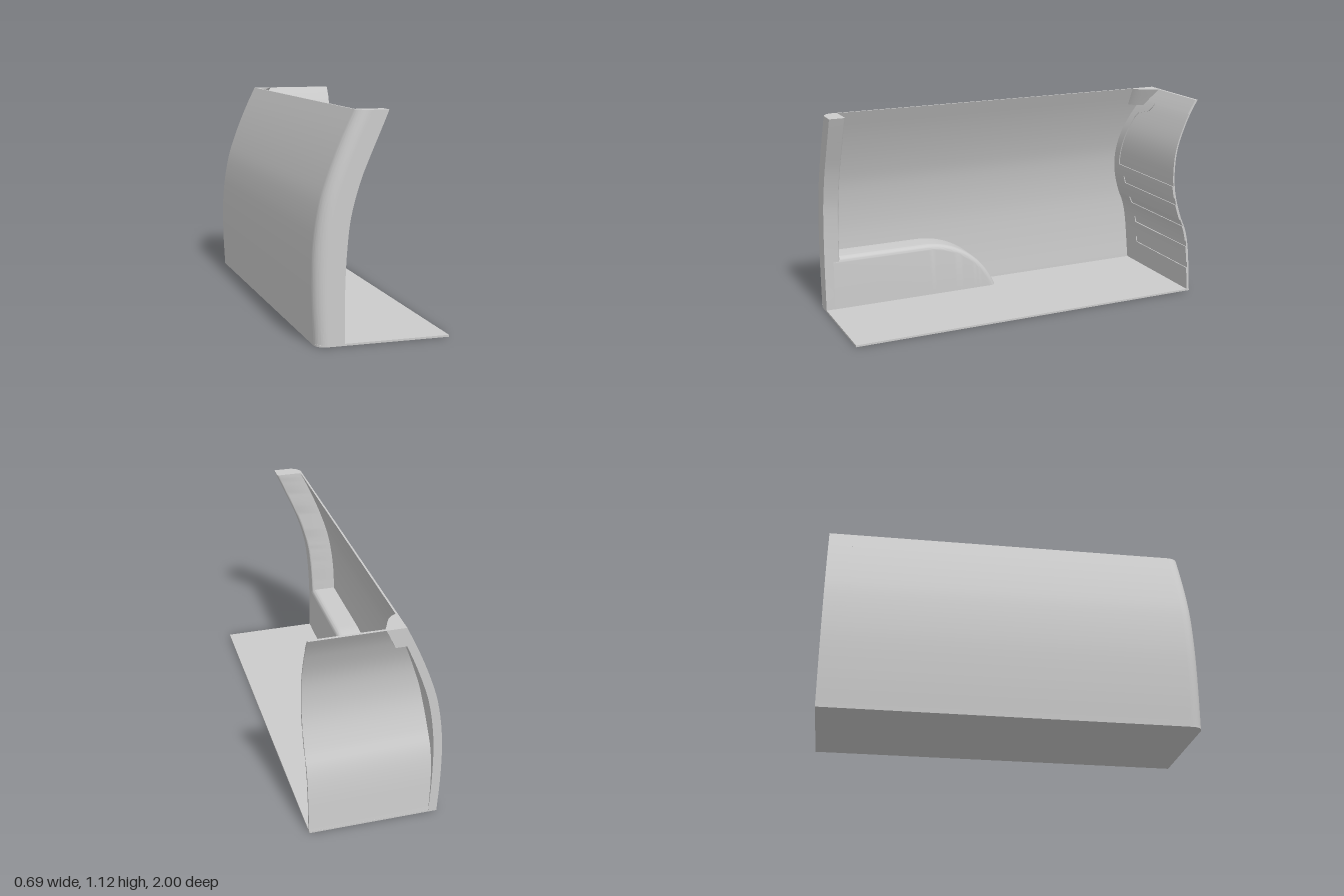
import * as THREE from 'three';
import { toCreasedNormals } from 'three/addons/utils/BufferGeometryUtils.js';

const H = 1.115, RIGHT = 0.34, SKIN = 0.01;
const lerp = THREE.MathUtils.lerp;

// Smooth height -> value function through a few points
function curve(ys, values) {
  const spline = new THREE.CubicInterpolant(ys, values, 1);
  return y => spline.evaluate(THREE.MathUtils.clamp(y, 0, H))[0];
}
const outer = curve( // outside of the side wall, x by height
  [0, 0.2, 0.4, 0.5, 0.6, 0.7, 0.8, 0.9, 1, H],
  [-0.335, -0.344, -0.343, -0.335, -0.321, -0.3, -0.268, -0.23, -0.187, -0.132]);
const inner = curve( // inside edge of the front pillar, x by height
  [0, 0.3, 0.5, 0.62, 0.8, 0.9, 1.04, H],
  [-0.195, -0.193, -0.181, -0.165, -0.114, -0.073, -0.012, 0.02]);
const back = curve( // inside of the end wall, z by height
  [0, 0.3, 0.38, 0.45, 0.6, 0.72, 0.85, 1, 1.06, H],
  [-0.985, -0.958, -0.938, -0.907, -0.864, -0.855, -0.869, -0.922, -0.952, -0.985]);

const material = new THREE.MeshStandardMaterial({ color: 0xcccccc });
const twoSided = new THREE.MeshStandardMaterial({ color: 0xcccccc, side: THREE.DoubleSide });

// Move every vertex of a geometry by a rule, then smooth it with sharp edges kept
function bend(geometry, rule) {
  const p = geometry.attributes.position;
  for (let i = 0; i < p.count; i++) p.setXYZ(i, ...rule(p.getX(i), p.getY(i), p.getZ(i)));
  return toCreasedNormals(geometry, 0.6);
}

// Box split into rows, mapped from unit coordinates
function bentBox(rows, rule) {
  return bend(new THREE.BoxGeometry(1, 1, 1, 1, rows, 1),
    (x, y, z) => rule(x + 0.5, y + 0.5, z + 0.5));
}

// Plan shape (x, -z) extruded upwards
function upright(shape, height, steps) {
  return new THREE.ExtrudeGeometry(shape,
    { depth: height, steps, bevelEnabled: false, curveSegments: 10 }).rotateX(-Math.PI / 2);
}

export function createModel() {
  const model = new THREE.Group();
  const add = (name, geometry, mat = material) => {
    const mesh = new THREE.Mesh(geometry, mat);
    mesh.name = name;
    model.add(mesh);
  };

  // Floor with a rounded front corner
  const floor = new THREE.Shape();
  floor.moveTo(-0.335, 1);
  floor.lineTo(-0.335, -0.935);
  floor.quadraticCurveTo(-0.335, -1, -0.27, -1);
  floor.lineTo(RIGHT, -1);
  floor.lineTo(RIGHT, 1);
  add('floor', upright(floor, 0.01, 1));

  // Curved side wall
  add('sideWall', bentBox(40, (u, v, w) =>
    [outer(v * H) + u * SKIN, v * H, lerp(-1, 0.935, w)]));

  // Front pillar with a rounded outer corner; it follows the side wall
  const section = new THREE.Shape();
  section.moveTo(0, -0.915);
  section.lineTo(0, -0.935);
  section.absarc(0.065, -0.935, 0.065, Math.PI, Math.PI * 1.5, false);
  section.lineTo(0.15, -1);
  section.lineTo(0.15, -0.925);
  section.quadraticCurveTo(0.15, -0.915, 0.14, -0.915);
  section.closePath();
  add('frontPillar', bend(upright(section, H, 40), (x, y, z) =>
    [lerp(outer(y), inner(y), x / 0.15), y, z]));

  // Wheel arch: flat top, round fall to the floor, filleted inner edge
  const ARC = 24, FILLET = 8, R = 0.03, radius = 0.47;
  add('wheelArch', bend(new THREE.PlaneGeometry(1, 1, ARC + 1, FILLET + 2), (a, b) => {
    const i = Math.round((a + 0.5) * (ARC + 1)), j = Math.round((b + 0.5) * (FILLET + 2));
    const angle = Math.max(0, i - 1) / ARC * Math.acos(0.165 / radius);
    const nz = -Math.sin(angle), ny = Math.cos(angle);
    const t = THREE.MathUtils.clamp((j - 1) / FILLET, 0, 1) * Math.PI / 2;
    const inset = R * (1 - Math.cos(t));
    const z = (i === 0 ? 0.95 : 0.42 + radius * nz) - inset * nz;
    const y = Math.max(0, -0.165 + radius * ny - inset * ny);
    const x = j === 0 ? outer(y) + 0.005 : -0.193 - R * (1 - Math.sin(t));
    return [x, j === FILLET + 2 ? 0 : y, z];
  }), twoSided);

  // Slab lying on the end wall, between two heights and two depths
  const slab = (name, y0, y1, left, right, d0, d1) =>
    add(name, bentBox(Math.max(3, Math.ceil((y1 - y0) * 40)), (u, v, w) => {
      const y = lerp(y0, y1, v);
      return [lerp(left(y), right(y), u), y, Math.max(-1, back(y) + lerp(d0, d1, w))];
    }));
  const wallSide = y => outer(y) + 0.005;
  const openSide = () => RIGHT;
  slab('endWall', 0, H, wallSide, openSide, -0.015, -0.006);

  // Raised lining that leaves four slots and an upper recessed panel
  const recesses = [[0.14, 0.175], [0.27, 0.305], [0.395, 0.435], [0.525, 0.565], [0.635, 1.04]];
  let from = 0;
  recesses.forEach(([low, high], i) => {
    const edge = i < 4 ? () => -0.21 : y => outer(y) + 0.065 + 0.1 * THREE.MathUtils.smoothstep(y, 0.96, 1);
    slab('endLining', from, low, wallSide, openSide, -0.007, 0);
    slab('endLiningEdge', low, high, wallSide, edge, -0.007, 0);
    from = high;
  });
  slab('endLining', from, H, wallSide, openSide, -0.007, 0);

  // Rear edge strip filling between the wall end and the recessed end wall
  add('rearPillar', bentBox(40, (u, v, w) => {
    const y = v * H;
    return [outer(y) + u * 0.045, y, lerp(-1, back(y) - 0.008, w)];
  }));

  // Corner gusset at the top rear
  const gusset = new THREE.Shape();
  gusset.moveTo(0, 1);
  gusset.lineTo(0, 0.86);
  gusset.bezierCurveTo(0.06, 0.87, 0.07, 0.93, 0.1, 0.985);
  gusset.lineTo(0.1, 1);
  gusset.closePath();
  add('cornerGusset', bend(upright(gusset, 0.1, 6), (x, y, z) =>
    [outer(y + H - 0.1) + x, y + H - 0.1, z]));

  return model;
}
